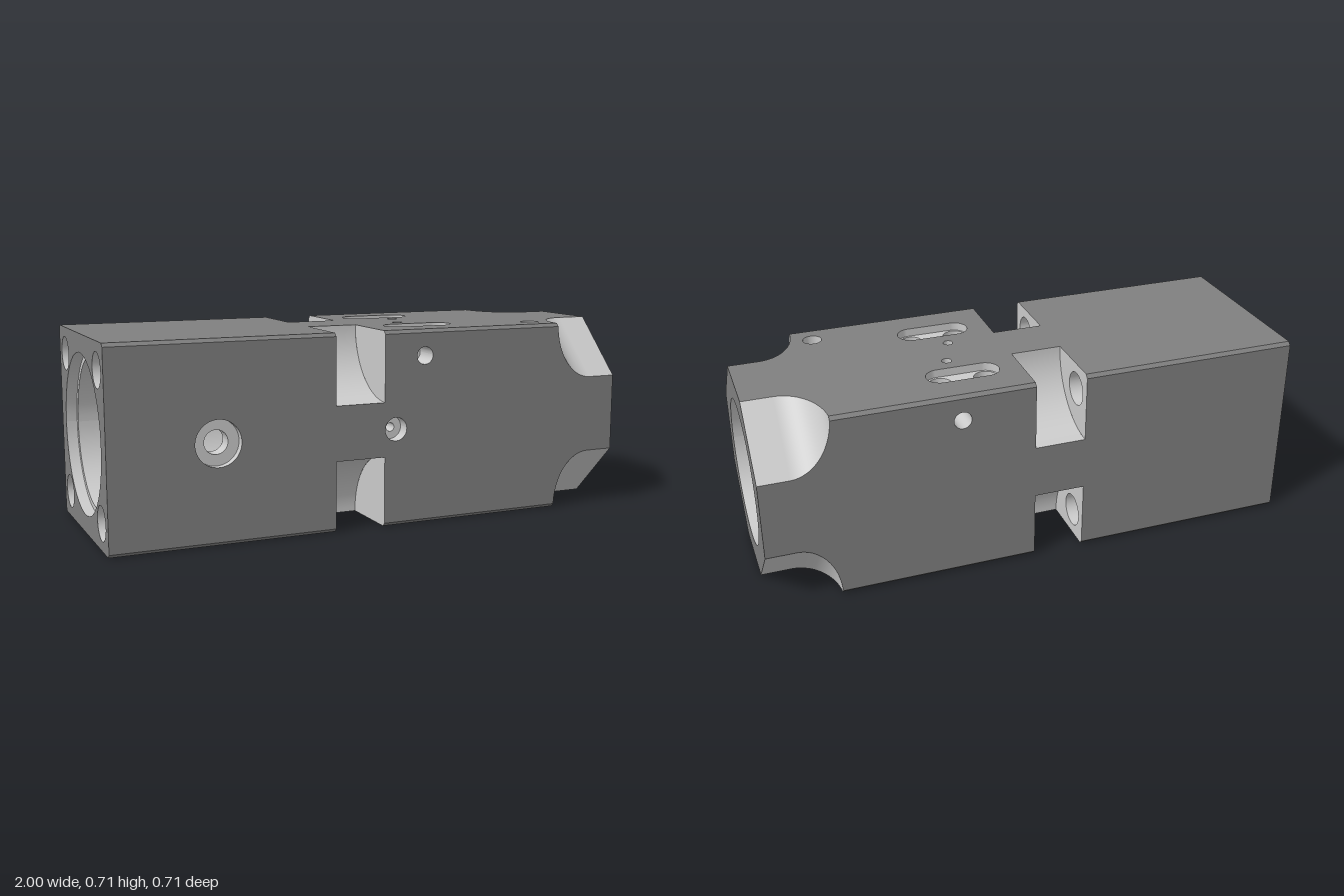
import * as THREE from 'three';

const H = 0.3575, C = 0.0125, P = H - C;          // half height, edge chamfer, flat half width
const SLOT0 = -0.18, SLOT1 = 0.01, SLOT_R = H - 0.1;
const NOTCH_X = 0.89, NOTCH_R = 0.15;             // corner relief at the open end
const BORE = 0.27, THROAT = 0.188;
const outer = new THREE.MeshStandardMaterial({ color: 0x808080, side: THREE.DoubleSide });
const machined = new THREE.MeshStandardMaterial({ color: 0xcccccc, side: THREE.DoubleSide });

function add(parent, name, geometry, material) {
  const m = new THREE.Mesh(geometry, material);
  m.name = name;
  parent.add(m);
  return m;
}

// Grid surface from a rule f(s, t) -> [x, y, z]
function surface(nu, nv, f) {
  const pos = [], idx = [];
  for (let i = 0; i <= nu; i++)
    for (let j = 0; j <= nv; j++) pos.push(...f(i / nu, j / nv));
  for (let i = 0; i < nu; i++)
    for (let j = 0; j < nv; j++) {
      const a = i * (nv + 1) + j, b = a + nv + 1;
      idx.push(a, b, a + 1, b, b + 1, a + 1);
    }
  const g = new THREE.BufferGeometry();
  g.setAttribute('position', new THREE.Float32BufferAttribute(pos, 3));
  g.setIndex(idx);
  g.computeVertexNormals();
  return g;
}

// Round or elongated outline centred on (u, v)
function outline(u, v, r, half = 0) {
  const pts = [];
  for (let i = 0; i < 40; i++) {
    const a = ((i + 0.5) / 40) * Math.PI * 2, c = Math.cos(a);
    pts.push(new THREE.Vector2(u + r * c + Math.sign(c) * half, v + r * Math.sin(a)));
  }
  return pts;
}
const plate = (pts, holes = []) => {
  const s = new THREE.Shape(pts);
  holes.forEach(h => s.holes.push(new THREE.Path(h)));
  return new THREE.ShapeGeometry(s);
};
// Wall of a cut from depth w0 down to the rule floor(v)
const wall = (pts, w0, floor) => surface(pts.length, 1, (s, t) => {
  const p = pts[Math.round(s * pts.length) % pts.length];
  return [p.x, p.y, t ? floor(p.y) : w0];
});
const toBore = r => v => Math.sqrt(Math.max(0, r * r - v * v));

// Corner relief: width cut from each face at x
const relief = x => Math.SQRT2 * Math.sqrt(Math.max(0, NOTCH_R ** 2 - Math.max(0, NOTCH_X - x) ** 2));
const RELIEF0 = NOTCH_X - Math.sqrt(NOTCH_R ** 2 - C * C / 2);
const reliefX = s => s > 0.99 ? 1 :
  NOTCH_X - (NOTCH_X - RELIEF0) * Math.cos(s / 0.96 * Math.PI / 2) * (s < 0.96 ? 1 : 0);

// Outline of one long face
function panelOutline() {
  const top = [[-1, P], [SLOT0, P], [SLOT0, 0.1], [SLOT1, 0.1], [SLOT1, P]];
  for (let i = 0; i <= 25; i++) {
    const x = reliefX(i / 25);
    top.push([x, H - relief(x)]);
  }
  const low = top.map(([x, v]) => [x, -v]).reverse();
  return [...low, ...top].map(p => new THREE.Vector2(...p)).reverse();
}

// A long face with its cuts; local z is outward
function makeFace(name, turn, cuts) {
  const g = new THREE.Group();
  g.name = name;
  g.rotation.x = turn;
  const holes = cuts.map(c => outline(c.u, c.v, c.r, c.half));
  add(g, name + 'Panel', plate(panelOutline(), holes), outer).position.z = H;
  cuts.forEach((c, i) => {
    if (!c.depth) {
      add(g, 'drilledHole', wall(holes[i], H, toBore(c.bore)), machined);
      return;
    }
    const w = H - c.depth;
    const inner = (c.inner || []).map(q => outline(q.u, q.v, q.r));
    add(g, 'recessWall', wall(holes[i], H, () => w), machined);
    add(g, 'recessFloor', plate(holes[i], inner), machined).position.z = w;
    (c.inner || []).forEach((q, k) => {
      add(g, 'innerHole', wall(inner[k], w, q.bore ? toBore(q.bore) : () => w - q.depth), machined);
      if (q.depth) add(g, 'innerHoleEnd', plate(inner[k]), machined).position.z = w - q.depth;
    });
  });
  return g;
}

// Bore length as two arcs that stop where side holes break through
function boreGeometry(x0, x1, r, cuts = []) {
  const limit = (x, side) => {
    let a = Math.PI / 2;
    for (const c of cuts) {
      const d = Math.abs(x - c.x);
      if (d >= c.r || !c.sides.includes(side)) continue;
      const w = Math.sqrt(c.r * c.r - d * d);
      a = Math.min(a, c.z ? Math.asin(Math.min(1, (c.z - w) / r)) : Math.acos(w / r));
    }
    return a;
  };
  const n = cuts.length ? 200 : 2;
  return [1, -1].map(up => surface(n, 40, (s, t) => {
    const x = x0 + (x1 - x0) * s, lo = -limit(x, -1), hi = limit(x, 1);
    const a = lo + (hi - lo) * t;
    return [x, up * r * Math.cos(a), r * Math.sin(a)];
  }));
}

export function createModel() {
  const model = new THREE.Group();
  model.name = 'machinedBlock';
  const body = new THREE.Group();
  body.name = 'body';
  body.position.y = H;
  model.add(body);

  // Long faces with ports, pockets and through holes
  const SX = [0.14, 0.31], SZ = 0.187, SR = 0.043;
  const pin = { x: 0.67, z: 0.265, r: 0.035 };
  const pocket = v => ({ u: 0.225, v, r: 0.052, half: 0.083, depth: 0.03,
    inner: SX.map(u => ({ u, v, r: SR, bore: THROAT })) });
  body.add(makeFace('front', 0, [
    { u: -0.615, v: 0, r: 0.083, depth: 0.03, inner: [{ u: -0.615, v: 0, r: 0.043, bore: BORE }] },
    { u: 0.055, v: 0, r: 0.043, depth: 0.05, inner: [{ u: 0.055, v: 0, r: 0.016, depth: 0.08 }] },
    { u: 0.17, v: 0.262, r: 0.032, depth: 0.1 }]));
  body.add(makeFace('top', -Math.PI / 2, [
    pocket(SZ), pocket(-SZ),
    { u: 0.25, v: 0.075, r: 0.018, depth: 0.08 },
    { u: 0.2, v: -0.07, r: 0.018, depth: 0.08 },
    { u: pin.x, v: -pin.z, r: pin.r, bore: BORE }]));
  body.add(makeFace('back', Math.PI, [{ u: 0.28, v: -0.262, r: 0.032, depth: 0.1 }]));
  body.add(makeFace('bottom', Math.PI / 2, [
    ...SX.flatMap(u => [SZ, -SZ].map(v => ({ u, v, r: SR, bore: THROAT }))),
    { u: pin.x, v: pin.z, r: pin.r, bore: BORE }]));

  // Four long corners: chamfers, cross slots, bolt holes and end reliefs
  const B = 0.26, BR = 0.062;
  const sector = [new THREE.Vector2(H, P), new THREE.Vector2(P, H)];
  for (let i = 0; i <= 20; i++) {
    const a = Math.PI + (i / 20) * Math.PI / 2;
    sector.push(new THREE.Vector2(H + SLOT_R * Math.cos(a), H + SLOT_R * Math.sin(a)));
  }
  for (let k = 0; k < 4; k++) {
    const g = new THREE.Group();
    g.name = 'corner';
    g.rotation.x = k * Math.PI / 2;
    body.add(g);
    for (const [a, b] of [[-1, SLOT0], [SLOT1, RELIEF0]])
      add(g, 'edgeChamfer', surface(1, 1, (s, t) => [a + (b - a) * s, t ? H : P, t ? P : H]), outer);
    add(g, 'slotFloor', surface(24, 1, (s, t) => {
      const a = Math.PI * (1 + s / 2);
      return [t ? SLOT1 : SLOT0, H + SLOT_R * Math.sin(a), H + SLOT_R * Math.cos(a)];
    }), machined);
    for (const x of [SLOT0, SLOT1]) {
      const m = add(g, 'slotWall', plate(sector, x === SLOT0 ? [outline(B, B, BR)] : []), machined);
      m.rotation.y = -Math.PI / 2;
      m.position.x = x;
    }
    const bolt = new THREE.CylinderGeometry(BR, BR, 1 + SLOT0, 40, 1, true).rotateZ(Math.PI / 2);
    add(g, 'boltHole', bolt, machined).position.set((SLOT0 - 1) / 2, B, B);
    add(g, 'endRelief', surface(25, 1, (s, t) => {
      const x = reliefX(s), e = H - relief(x);
      return [x, t ? H : e, t ? e : H];
    }), machined);
  }

  // End faces
  const octagon = e => [[H, e], [e, H], [-e, H], [-H, e], [-H, -e], [-e, -H], [e, -H], [H, -e]]
    .map(p => new THREE.Vector2(...p));
  const openEnd = add(body, 'openEndFace', plate(octagon(H - relief(1)), [outline(0, 0, BORE)]), outer);
  openEnd.rotation.y = Math.PI / 2;
  openEnd.position.x = 1;
  const boltHoles = [[B, B], [-B, B], [-B, -B], [B, -B]].map(p => outline(...p, BR));
  const boltEnd = add(body, 'boltEndFace', plate(octagon(P), [outline(0, 0, 0.29), ...boltHoles]), outer);
  boltEnd.rotation.y = -Math.PI / 2;
  boltEnd.position.x = -1;

  // Stepped bore
  const lengths = [
    [-1, -0.96, 0.29],
    [-0.96, -0.25, BORE, [{ x: -0.615, r: 0.043, sides: [1] }]],
    [-0.25, 0.6, THROAT, SX.map(x => ({ x, z: SZ, r: SR, sides: [1, -1] }))],
    [0.6, 1, BORE, [{ ...pin, sides: [1] }]]];
  lengths.forEach(l => boreGeometry(...l).forEach(geo => add(body, 'bore', geo, machined)));
  for (const [x, r0, r1] of [[-0.96, BORE, 0.29], [-0.25, THROAT, BORE], [0.6, THROAT, BORE]]) {
    const step = add(body, 'boreStep', new THREE.RingGeometry(r0, r1, 80), machined);
    step.rotation.y = x < 0 ? -Math.PI / 2 : Math.PI / 2;
    step.position.x = x;
  }
  return model;
}
